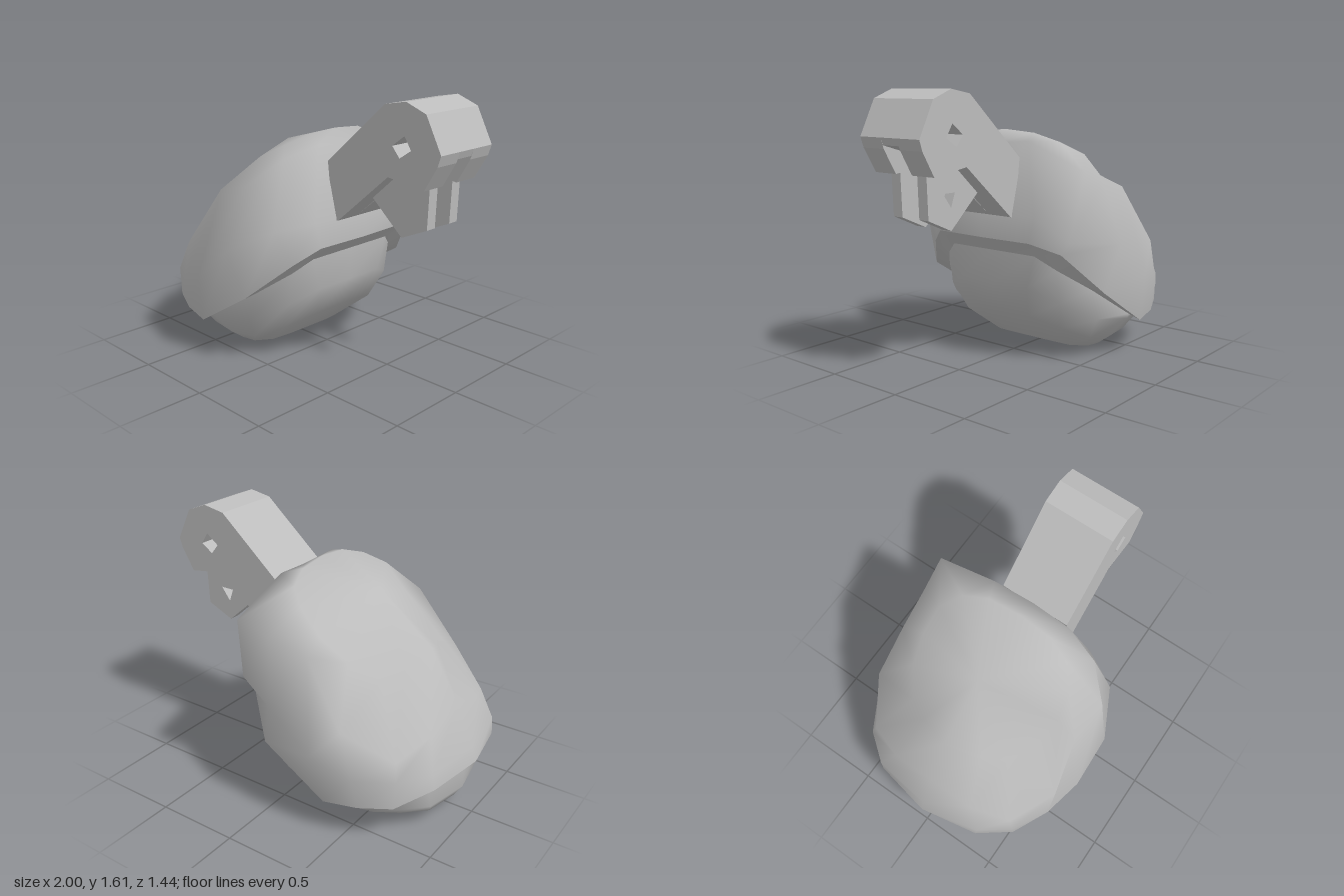
import * as THREE from 'three';

// Completes a half loop (z >= 0, left to right) by mirroring it to the back
function fullLoop(half) {
  const back = half.slice(1, -1).reverse().map(([x, y, z]) => [x, y, -z]);
  return [...half, ...back];
}

// Skins loops listed from bottom to top, with optional pole points
function loft(loops, { bottom, top } = {}) {
  const n = loops[0].length;
  const points = loops.flat();
  const index = [];
  for (let k = 0; k < loops.length - 1; k++) {
    for (let i = 0; i < n; i++) {
      const j = (i + 1) % n;
      const a = k * n + i, b = k * n + j, c = a + n, d = b + n;
      index.push(a, b, d, a, d, c);
    }
  }
  if (bottom) {
    points.push(bottom);
    for (let i = 0; i < n; i++) index.push(points.length - 1, (i + 1) % n, i);
  }
  if (top) {
    points.push(top);
    const s = (loops.length - 1) * n;
    for (let i = 0; i < n; i++) index.push(s + i, s + ((i + 1) % n), points.length - 1);
  }
  const g = new THREE.BufferGeometry();
  g.setAttribute('position', new THREE.Float32BufferAttribute(points.flat(), 3));
  g.setIndex(index);
  g.computeVertexNormals();
  return g;
}

// Plate with a polygon outline in x/y, reaching from z0 to z1
function plate(outline, hole, z0, z1) {
  const toPoints = (list) => list.map(([x, y]) => new THREE.Vector2(x, y));
  const shape = new THREE.Shape(toPoints(outline));
  if (hole) shape.holes.push(new THREE.Path(toPoints(hole)));
  const g = new THREE.ExtrudeGeometry(shape, { depth: z1 - z0, bevelEnabled: false });
  return g.translate(0, 0, z0);
}

export function createModel() {
  const model = new THREE.Group();
  model.name = 'model';
  const grey = new THREE.MeshStandardMaterial({ color: 0xbcbcbc, side: THREE.DoubleSide });
  grey.name = 'grey';
  const add = (name, geometry, parent = model) => {
    const mesh = new THREE.Mesh(geometry, grey);
    mesh.name = name;
    parent.add(mesh);
  };

  // Tilted outer shell
  const shellLoops = [
    [[-1, .35, 0], [-.93, .33, .36], [-.78, .25, .54], [-.6, .23, .62], [-.4, .215, .66],
      [0, .46, .66], [.2, .66, .47], [.29, .75, .34], [.3, .75, 0]],
    [[-.97, .43, 0], [-.92, .43, .37], [-.79, .42, .54], [-.58, .42, .66], [-.35, .52, .72],
      [-.08, .74, .717], [.17, .87, .58], [.28, .9, .37], [.3, .9, 0]],
    [[-.86, .68, 0], [-.85, .6, .28], [-.77, .52, .51], [-.51, .69, .655], [-.26, 1.04, .6],
      [-.02, 1.1, .62], [.12, 1.25, .46], [.18, 1.31, .25], [.2, 1.29, 0]],
    [[-.68, .97, 0], [-.64, .94, .2], [-.57, .9, .33], [-.42, 1, .43], [-.26, 1.12, .46],
      [-.1, 1.23, .44], [.01, 1.3, .35], [.06, 1.35, .2], [.07, 1.365, 0]],
  ].map(fullLoop);
  // Stepped corner at the back right of the shell
  shellLoops[0][10] = [.2, .69, -.5];
  shellLoops[1][10] = [.22, .77, -.57];
  shellLoops[2][10] = [.18, 1.16, -.64];
  // Hollows on the sloping face, deeper at the front
  const hollow = shellLoops[3];
  const dent = (i, depth) => {
    hollow[i][0] += depth * .6;
    hollow[i][1] -= depth;
  };
  for (const i of [1, 2, 3, 4]) {
    dent(i, .05);
    dent(16 - i, .025);
  }
  add('shell', loft(shellLoops, { top: [-.34, 1.25, 0] }));

  // Rounded inner body below the shell
  const bodyLoops = [
    [[-.68, .025, 0], [-.66, .025, .17], [-.6, .025, .27], [-.5, .02, .34], [-.38, .015, .37],
      [-.28, .02, .36], [-.2, .03, .28], [-.17, .04, .15], [-.17, .04, 0]],
    [[-.88, .07, 0], [-.84, .08, .23], [-.73, .1, .37], [-.58, .08, .43], [-.38, .08, .46],
      [-.16, .12, .46], [.01, .2, .37], [.11, .27, .2], [.12, .28, 0]],
    [[-.93, .15, 0], [-.88, .16, .29], [-.75, .17, .44], [-.6, .19, .52], [-.4, .21, .57],
      [-.08, .27, .56], [.1, .38, .42], [.19, .46, .25], [.19, .46, 0]],
    [[-.93, .31, 0], [-.87, .31, .33], [-.74, .25, .48], [-.58, .24, .55], [-.4, .24, .58],
      [-.02, .46, .56], [.13, .58, .42], [.2, .66, .31], [.2, .66, 0]],
  ].map(fullLoop);
  add('innerBody', loft(bodyLoops, { bottom: [-.42, 0, 0] }));

  // Flat lip joining the inner body to the shell edge
  add('shellLip', loft([bodyLoops[3], shellLoops[0]]));

  // Arm made of two cheeks and a recessed core, pierced by a square hole
  const arm = new THREE.Group();
  arm.name = 'arm';
  model.add(arm);
  const upper = [[.22, 1.22], [.63, 1.58], [.77, 1.605], [.9, 1.555], [1, 1.36]];
  const cheek = [...upper, [.98, 1.3], [.9, 1.165], [.66, 1.2], [.3, .89], [.26, .88]];
  const core = [...upper, [.985, 1.32], [.75, 1.25], [.6, 1.14], [.3, .89], [.26, .88]];
  const pinHole = [[.685, 1.37], [.765, 1.43], [.81, 1.36], [.735, 1.31]];
  add('armCheekFront', plate(cheek, pinHole, .06, .215), arm);
  add('armCheekBack', plate(cheek, pinHole, -.22, -.06), arm);
  add('armCore', plate(core, pinHole, -.06, .06), arm);

  // Pair of lugs hanging under the arm
  const lug = [[.48, 1.04], [.66, 1.2], [.87, 1.18], [.86, .93], [.69, .855]];
  const lugHole = [[.66, 1.06], [.75, 1.06], [.69, .98]];
  add('lugFront', plate(lug, null, .06, .127), arm);
  add('lugBack', plate(lug, lugHole, -.133, -.066), arm);

  return model;
}
